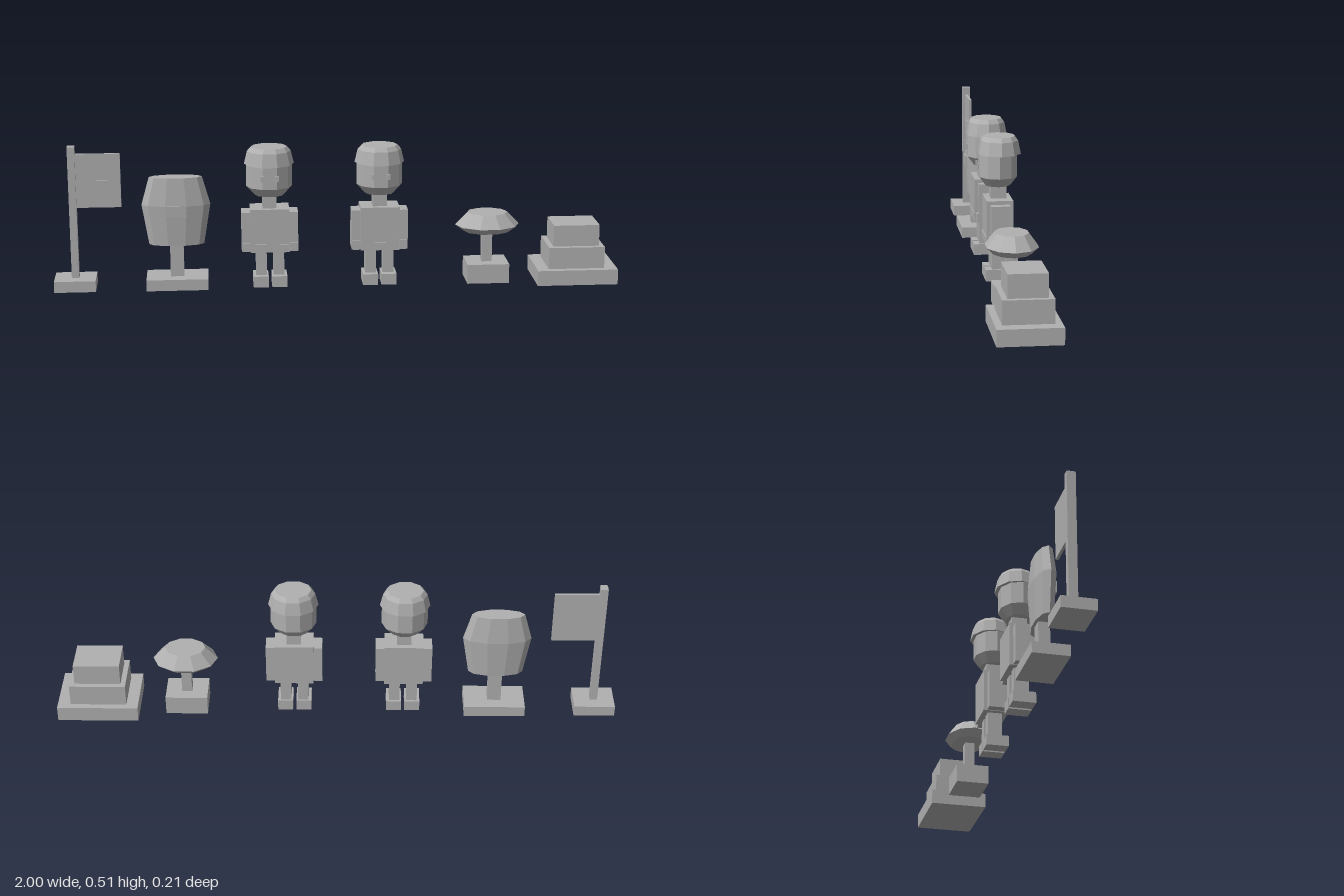
import * as THREE from 'three';

const grey = new THREE.MeshStandardMaterial({ color: 0xb0b0b0, flatShading: true });
grey.name = 'stone grey';

// Box given by its limits on each axis
function box(parent, name, [x0, x1], [y0, y1], [z0, z1]) {
  const mesh = new THREE.Mesh(new THREE.BoxGeometry(x1 - x0, y1 - y0, z1 - z0), grey);
  mesh.position.set((x0 + x1) / 2, (y0 + y1) / 2, (z0 + z1) / 2);
  mesh.name = name;
  parent.add(mesh);
  return mesh;
}

// Ten-sided closed solid from [radius, height] rings, flattened along z
function faceted(parent, name, rings, depth, z = 0) {
  const points = [[0, rings[0][1]], ...rings, [0, rings[rings.length - 1][1]]]
    .map(([r, y]) => new THREE.Vector2(r, y));
  const geometry = new THREE.LatheGeometry(points, 10, Math.PI / 2);
  geometry.scale(1, 1, depth);
  const mesh = new THREE.Mesh(geometry, grey);
  mesh.position.z = z;
  mesh.name = name;
  parent.add(mesh);
  return mesh;
}

function group(parent, name, x) {
  const g = new THREE.Group();
  g.name = name;
  g.position.x = x;
  parent.add(g);
  return g;
}

const span = (half) => [-half, half];

function buildFlag(parent) {
  const g = group(parent, 'flag', -0.927);
  box(g, 'flagBase', span(0.073), [0, 0.04], span(0.058));
  box(g, 'flagPole', span(0.013), [0.04, 0.515], span(0.015));
  box(g, 'flagCloth', [0.013, 0.169], [0.294, 0.487], span(0.005));
  box(g, 'flagStripe', [0.04, 0.125], [0.388, 0.393], [0.005, 0.008]);
}

function buildShield(parent) {
  const g = group(parent, 'shieldStand', -0.567);
  box(g, 'shieldBase', span(0.109), [0, 0.04], span(0.064));
  box(g, 'shieldPost', span(0.024), [0.04, 0.157], span(0.02));
  faceted(g, 'shieldBody', [[0.097, 0.155], [0.121, 0.3], [0.093, 0.4]], 0.33);
  box(g, 'shieldEmblem', span(0.036), [0.262, 0.303], [0.034, 0.042]);
}

function buildFigure(parent, name, x) {
  const g = group(parent, name, x);
  // Paired limbs
  for (const [side, s] of [['right', -1], ['left', 1]]) {
    const pair = (a, b) => (s > 0 ? [a, b] : [-b, -a]);
    box(g, side + 'Foot', pair(0.006, 0.06), [0, 0.04], [-0.033, 0.048]);
    box(g, side + 'Leg', pair(0.012, 0.05), [0.04, 0.13], span(0.026));
    box(g, side + 'Arm', pair(0.069, 0.1), [0.13, 0.272], span(0.033));
    box(g, side + 'Hand', pair(0.071, 0.098), [0.13, 0.162], [0.03, 0.041]);
    box(g, side + 'Eye', pair(0.019, 0.032), [0.392, 0.412], [0.068, 0.074]);
  }
  // Body and head
  box(g, 'torso', span(0.069), [0.128, 0.285], span(0.046));
  box(g, 'belt', span(0.067), [0.142, 0.158], [0.046, 0.049]);
  box(g, 'neck', span(0.025), [0.28, 0.335], span(0.027));
  faceted(g, 'head', [[0.052, 0.33], [0.081, 0.362], [0.081, 0.44], [0.07, 0.48]], 0.85, 0.001);
  faceted(g, 'helmet', [[0.088, 0.441], [0.077, 0.487], [0.064, 0.502]], 0.86, -0.005);
}

function buildMushroom(parent) {
  const g = group(parent, 'mushroom', 0.54);
  box(g, 'mushroomBase', span(0.075), [0, 0.07], span(0.06));
  box(g, 'mushroomStem', span(0.018), [0.07, 0.185], span(0.018));
  faceted(g, 'mushroomCap', [[0.085, 0.182], [0.115, 0.205], [0.072, 0.25]], 0.78);
}

function buildSteps(parent) {
  const g = group(parent, 'steppedPlinth', 0.854);
  box(g, 'lowerStep', [-0.142, 0.146], [0, 0.055], span(0.105));
  box(g, 'middleStep', span(0.1), [0.055, 0.133], span(0.082));
  box(g, 'upperStep', span(0.082), [0.133, 0.21], span(0.064));
}

export function createModel() {
  const model = new THREE.Group();
  model.name = 'figureSet';
  buildFlag(model);
  buildShield(model);
  buildFigure(model, 'firstFigure', -0.238);
  buildFigure(model, 'secondFigure', 0.152);
  buildMushroom(model);
  buildSteps(model);
  return model;
}
